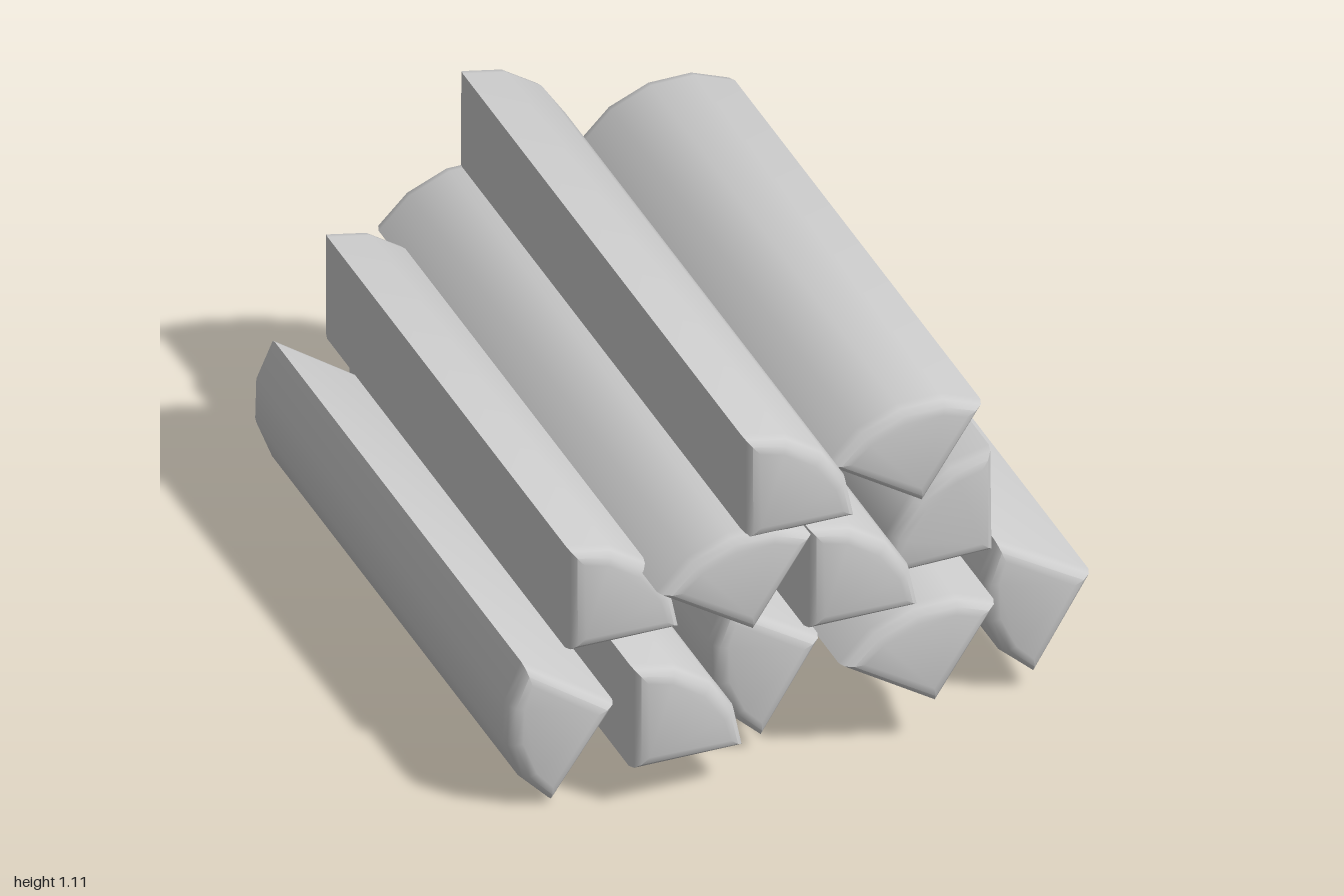
import * as THREE from 'three';
import { toCreasedNormals } from 'three/addons/utils/BufferGeometryUtils.js';

const RADIUS = 0.322;
const TILT = 0.011; // the whole stack rises slightly towards the back

// Quarter-round split log, heart edge on the z axis, with softened ends
function splitLogGeometry(halfLength) {
  const bevel = 0.045;
  const points = [new THREE.Vector2(0, 0)];
  for (let i = 0; i <= 4; i++) {
    const a = (i / 4) * Math.PI / 2;
    points.push(new THREE.Vector2(RADIUS * Math.cos(a), RADIUS * Math.sin(a)));
  }
  const geometry = new THREE.ExtrudeGeometry(new THREE.Shape(points), {
    depth: 2 * (halfLength - bevel),
    bevelEnabled: true,
    bevelThickness: bevel,
    bevelSize: 0.042,
    bevelOffset: -0.042,
    bevelSegments: 3,
  });
  geometry.translate(0, 0, bevel - halfLength);
  return toCreasedNormals(geometry, 0.75);
}

// name, heart edge x and y, start angle in degrees, half length, z centre
const LOGS = [
  ['bottomFarRightLog', -0.54, 0.275, 145, 0.887, -0.003],
  ['bottomRightLog', -0.54, 0.133, 0, 0.998, 0],
  ['bottomMiddleLog', 0.06, 0.325, 148, 0.865, 0],
  ['bottomLeftLog', 0.335, 0.133, 57, 0.998, 0],
  ['bottomFarLeftLog', 0.845, 0.33, 149, 0.86, -0.003],
  ['middleFarRightLog', -0.665, 0.453, 0, 0.86, -0.003],
  ['middleRightLog', -0.19, 0.487, 57, 0.998, 0],
  ['middleLeftLog', -0.035, 0.451, 0, 0.998, 0],
  ['middleFarLeftLog', 0.56, 0.475, 91, 0.862, 0],
  ['topRightLog', -0.218, 0.777, 0, 0.998, 0],
  ['topLeftLog', 0.345, 0.693, 57, 0.885, 0],
];

export function createModel() {
  const group = new THREE.Group();
  group.name = 'firewoodStack';
  const material = new THREE.MeshStandardMaterial({ color: 0xcccccc });

  for (const [name, x, y, angle, halfLength, z] of LOGS) {
    const log = new THREE.Mesh(splitLogGeometry(halfLength), material);
    log.name = name;
    log.position.set(x, y, z);
    log.rotation.set(TILT, 0, THREE.MathUtils.degToRad(angle));
    group.add(log);
  }
  return group;
}
